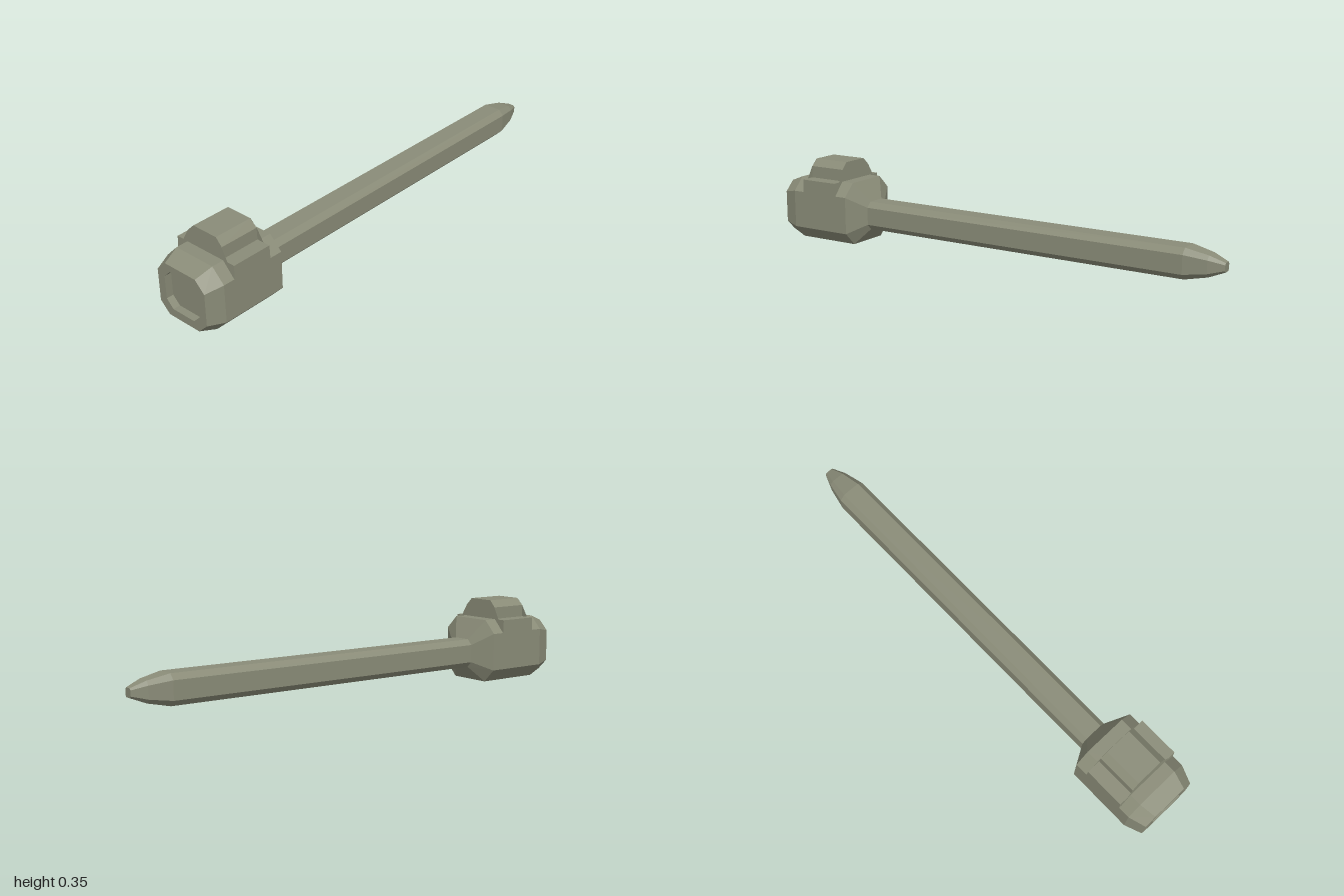
import * as THREE from 'three';

const gunmetal = new THREE.MeshStandardMaterial({ color: 0x8a8c78, side: THREE.DoubleSide });
gunmetal.name = 'olive grey';

// chamfered rectangle at depth z: half width a, flat half width b, y0..y1 with corner height c
function ring(z, a, b, y0, y1, c) {
  return [[a, y0 + c], [a, y1 - c], [b, y1], [-b, y1], [-a, y1 - c], [-a, y0 + c], [-b, y0], [b, y0]]
    .map(([x, y]) => new THREE.Vector3(x, y, z));
}

// flat-faced skin through rings ordered from front to back, closed at both ends
function loft(rings) {
  const pts = [];
  const n = 8;
  for (let r = 0; r < rings.length - 1; r++) {
    const a = rings[r], b = rings[r + 1];
    for (let i = 0; i < n; i++) {
      const j = (i + 1) % n;
      pts.push(a[i], b[i], b[j], a[i], b[j], a[j]);
    }
  }
  const first = rings[0], last = rings[rings.length - 1];
  for (let i = 1; i < n - 1; i++) {
    pts.push(first[0], first[i], first[i + 1], last[0], last[i + 1], last[i]);
  }
  const g = new THREE.BufferGeometry().setFromPoints(pts);
  g.computeVertexNormals();
  return g;
}

function add(group, name, geometry) {
  const m = new THREE.Mesh(geometry, gunmetal);
  m.name = name;
  group.add(m);
}

// mirrored outline from its right-hand points, listed bottom to top
function mirroredShape(right) {
  const left = right.map(([x, y]) => [-x, y]).reverse();
  return new THREE.Shape([...right, ...left].map(([x, y]) => new THREE.Vector2(x, y)));
}

const saddleZ = 0.7925;
const saddleHalf = (y) => 0.0825 + (0.347 - y) * 0.04;

export function createModel() {
  const group = new THREE.Group();

  // head with recessed front and tapered collar
  add(group, 'head', loft([
    ring(0.97, 0.087, 0.055, 0.055, 0.215, 0.032),
    ring(1.0, 0.087, 0.055, 0.055, 0.215, 0.032),
    ring(1.0, 0.122, 0.078, 0.022, 0.242, 0.043),
    ring(0.93, 0.147, 0.093, 0, 0.268, 0.055),
    ring(0.65, 0.147, 0.093, 0, 0.268, 0.055),
    ring(0.6, 0.06, 0.038, 0.062, 0.183, 0.023),
  ]));

  // long rod with rounded-off tip
  add(group, 'rod', loft([
    ring(0.6, 0.06, 0.038, 0.062, 0.183, 0.023),
    ring(-0.85, 0.06, 0.038, 0.062, 0.183, 0.023),
    ring(-0.94, 0.042, 0.027, 0.081, 0.164, 0.016),
    ring(-1.0, 0.02, 0.013, 0.105, 0.141, 0.007),
  ]));

  // saddle block with side shelves, its ends leaning slightly outward at the foot
  const block = new THREE.ExtrudeGeometry(
    mirroredShape([[0.147, 0.2], [0.147, 0.268], [0.087, 0.268], [0.087, 0.318], [0.058, 0.347]]),
    { depth: 1, bevelEnabled: false });
  const p = block.attributes.position;
  for (let i = 0; i < p.count; i++) {
    p.setZ(i, saddleZ + (p.getZ(i) > 0.5 ? 1 : -1) * saddleHalf(p.getY(i)));
  }
  block.computeVertexNormals();
  add(group, 'saddle', block);

  // flared thin cheeks on both ends of the saddle
  for (const s of [1, -1]) {
    const cheek = new THREE.ShapeGeometry(
      mirroredShape([[0.147, 0.2], [0.147, 0.213], [0.087, 0.318], [0.058, 0.347]]));
    const q = cheek.attributes.position;
    for (let i = 0; i < q.count; i++) q.setZ(i, saddleZ + s * (saddleHalf(q.getY(i)) + 0.001));
    if (s < 0) cheek.index.array.reverse();
    cheek.computeVertexNormals();
    add(group, s > 0 ? 'frontCheek' : 'backCheek', cheek);
  }
  return group;
}
